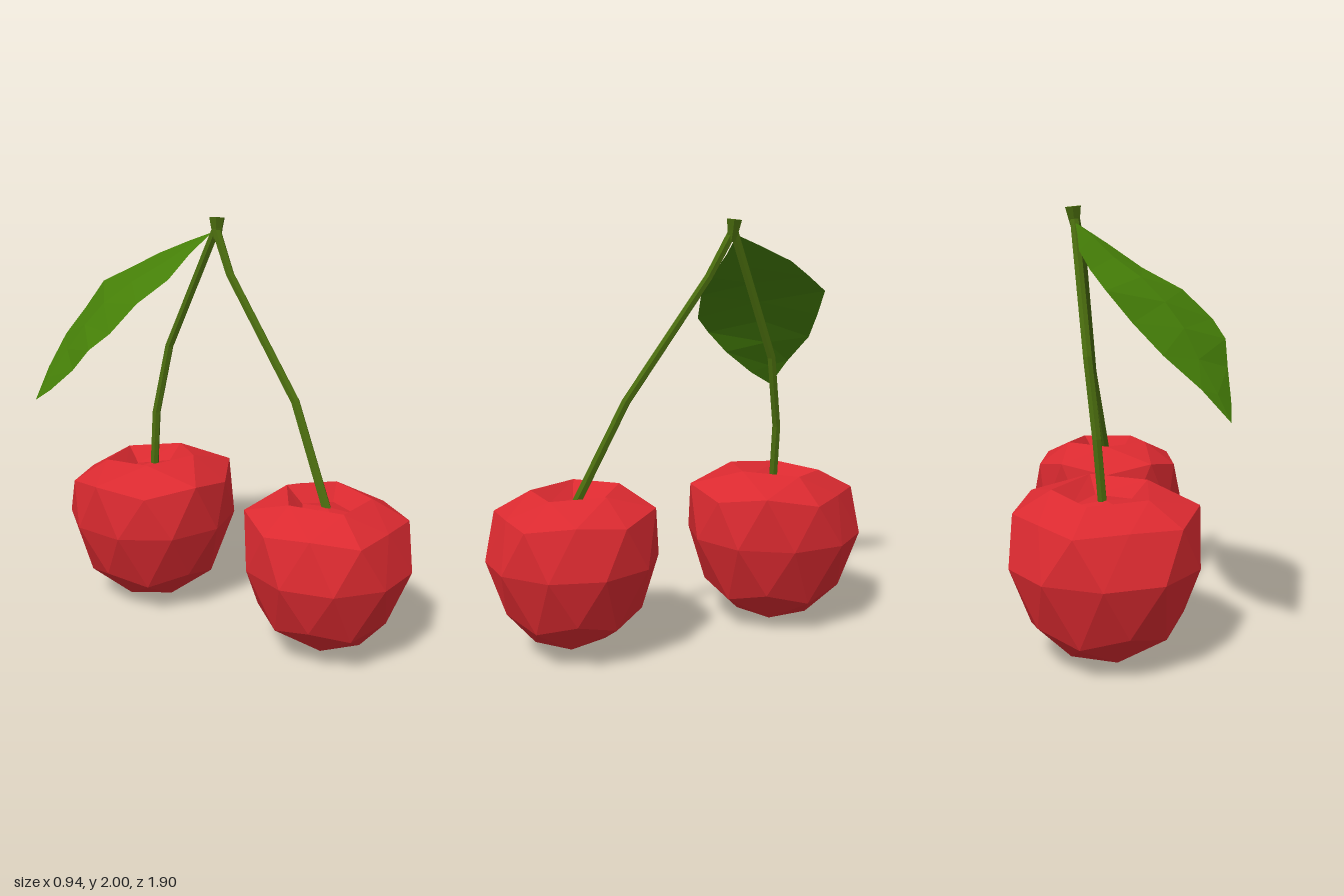
import * as THREE from 'three';

const paint = (color, side = THREE.FrontSide) =>
  new THREE.MeshStandardMaterial({ color, flatShading: true, side });
const red = paint(0xdb2a30);
const stemGreen = paint(0x4a6c0e);
const leafGreen = paint(0x468008, THREE.DoubleSide);

function meshFrom(name, positions, material) {
  const geo = new THREE.BufferGeometry();
  geo.setAttribute('position', new THREE.Float32BufferAttribute(positions, 3));
  geo.computeVertexNormals();
  const mesh = new THREE.Mesh(geo, material);
  mesh.name = name;
  return mesh;
}

// Rings of the fruit: [sphere height, radius factor, height]
const RINGS = [
  [0.85, 0.54, 0.318], // rim
  [0.526, 0.79, 0.215], // shoulder, between corners
  [0.447, 0.94, 0.208], // shoulder corners
  [0, 1, 0],
  [-0.447, 0.81, -0.53],
  [-0.526, 0.76, -0.65],
  [-0.85, 0.42, -0.9],
  [-1, 0, -1],
];

// Faceted fruit: a subdivided icosahedron, pole up, with a pentagonal dimple.
// "inner" is the z direction towards the other fruit, where the shoulder is fuller.
function cherry(name, { center, radius, bottom, yaw, inner, slope, lean }) {
  const ico = new THREE.IcosahedronGeometry(1, 1);
  ico.rotateZ(Math.PI / 2 - Math.atan((1 + Math.sqrt(5)) / 2));
  ico.rotateY(yaw);
  const p = ico.attributes.position;
  const out = [];
  const shape = (v) => {
    const ring = RINGS.findIndex(([level]) => Math.abs(level - v.y) < 0.03);
    let [, r, y] = RINGS[ring];
    if (ring === 0) y += slope * inner * v.z; // tilted rim
    if (ring === 1) {
      const full = THREE.MathUtils.clamp((inner * v.z + 0.45) / 0.5, 0, 1);
      r += 0.19 * full;
      y += 0.038 * full;
    }
    if (y < 0) y *= bottom;
    const s = (r * radius) / (Math.hypot(v.x, v.z) || 1);
    return [v.x * s, y, v.z * s + (Math.abs(v.y) > 0.8 ? lean * y : 0)];
  };
  for (let i = 0; i < p.count; i += 3) {
    const tri = [0, 1, 2].map((k) => new THREE.Vector3().fromBufferAttribute(p, i + k));
    const top = tri.findIndex((v) => v.y > 0.99);
    if (top < 0) {
      tri.forEach((v) => out.push(...shape(v)));
      continue;
    }
    // replace the pole faces by a sunken inner pentagon with a low cone
    const a = shape(tri[(top + 1) % 3]);
    const b = shape(tri[(top + 2) % 3]);
    const sink = (q) => [q[0] * 0.62, q[1] - 0.075, q[2] * 0.62];
    const c = sink(a), d = sink(b), pole = [0, 0.27, lean * 0.27];
    out.push(...a, ...b, ...d, ...a, ...d, ...c, ...c, ...d, ...pole);
  }
  const mesh = meshFrom(name, out, red);
  mesh.position.set(...center);
  return mesh;
}

// Six-sided rod through [x, y, z, radius] points, mitred at each bend
function rod(name, path, sides = 6) {
  const pts = path.map((q) => new THREE.Vector3(q[0], q[1], q[2]));
  const up = new THREE.Vector3(0, 1, 0);
  const rings = pts.map((c, i) => {
    const dir = pts[Math.min(i + 1, pts.length - 1)].clone().sub(pts[Math.max(i - 1, 0)]).normalize();
    const turn = new THREE.Quaternion().setFromUnitVectors(up, dir);
    return Array.from({ length: sides }, (_, k) => {
      const t = (k / sides) * Math.PI * 2;
      return new THREE.Vector3(Math.sin(t), 0, Math.cos(t))
        .multiplyScalar(path[i][3]).applyQuaternion(turn).add(c);
    });
  });
  const out = [];
  const tri = (...vs) => vs.forEach((v) => out.push(v.x, v.y, v.z));
  const last = rings.length - 1;
  for (let k = 0; k < sides; k++) {
    const n = (k + 1) % sides;
    for (let i = 0; i < last; i++) {
      const [a, b, c, d] = [rings[i][k], rings[i][n], rings[i + 1][n], rings[i + 1][k]];
      tri(a, b, c);
      tri(a, c, d);
    }
    tri(pts[0], rings[0][n], rings[0][k]);
    tri(pts[last], rings[last][k], rings[last][n]);
  }
  return meshFrom(name, out, stemGreen);
}

// Leaf blade: two edges joined over a slightly raised midrib
function leaf() {
  const base = [0.19, 1.93, -0.21];
  const tip = [-0.46, 1.13, -0.81];
  const backEdge = [base, [0.175, 1.88, -0.35], [0.16, 1.81, -0.53], [0.11, 1.735, -0.67],
    [0.045, 1.66, -0.81], [-0.06, 1.535, -0.84], [-0.18, 1.41, -0.87], [-0.335, 1.27, -0.84], tip];
  const frontEdge = [base, [0.05, 1.84, -0.235], [-0.11, 1.73, -0.24], [-0.29, 1.635, -0.28],
    [-0.42, 1.51, -0.33], [-0.47, 1.43, -0.42], [-0.47, 1.32, -0.53], [-0.47, 1.2, -0.69], tip];
  const bulge = [-0.59, 0.74, -0.33];
  const last = backEdge.length - 1;
  const rib = backEdge.map((q, i) => q.map((v, k) =>
    (v + frontEdge[i][k]) / 2 + bulge[k] * 0.02 * Math.sin((Math.PI * i) / last)));
  const out = [];
  const strip = (l, r) => {
    for (let i = 0; i < last; i++) {
      if (i > 0) out.push(...l[i], ...r[i], ...r[i + 1]);
      if (i < last - 1) out.push(...l[i], ...r[i + 1], ...l[i + 1]);
    }
  };
  strip(frontEdge, rib);
  strip(rib, backEdge);
  return meshFrom('leaf', out, leafGreen);
}

export function createModel() {
  const group = new THREE.Group();
  group.name = 'cherryPair';
  group.add(
    cherry('frontCherry', { center: [0.06, 0.46, 0.573], radius: 0.4, bottom: 0.42,
      yaw: -Math.PI / 2, inner: -1, slope: 0.02, lean: -0.06 }),
    cherry('backCherry', { center: [0.055, 0.46, -0.515], radius: 0.435, bottom: 0.455,
      yaw: Math.PI, inner: 1, slope: 0.035, lean: 0 }),
    rod('frontStem', [[0.065, 0.7, 0.565, 0.023], [0.13, 1.18, 0.33, 0.022],
      [0.16, 1.74, -0.08, 0.021], [0.19, 1.95, -0.19, 0.023]]),
    rod('backStem', [[0.065, 0.7, -0.505, 0.022], [0.09, 1, -0.505, 0.022],
      [0.13, 1.35, -0.445, 0.022], [0.195, 1.95, -0.19, 0.022]]),
    // flared bud where the stems meet
    rod('stemTip', [[0.19, 1.9, -0.18, 0.02], [0.195, 1.95, -0.187, 0.03], [0.2, 2, -0.19, 0.04]]),
    leaf(),
  );
  return group;
}
